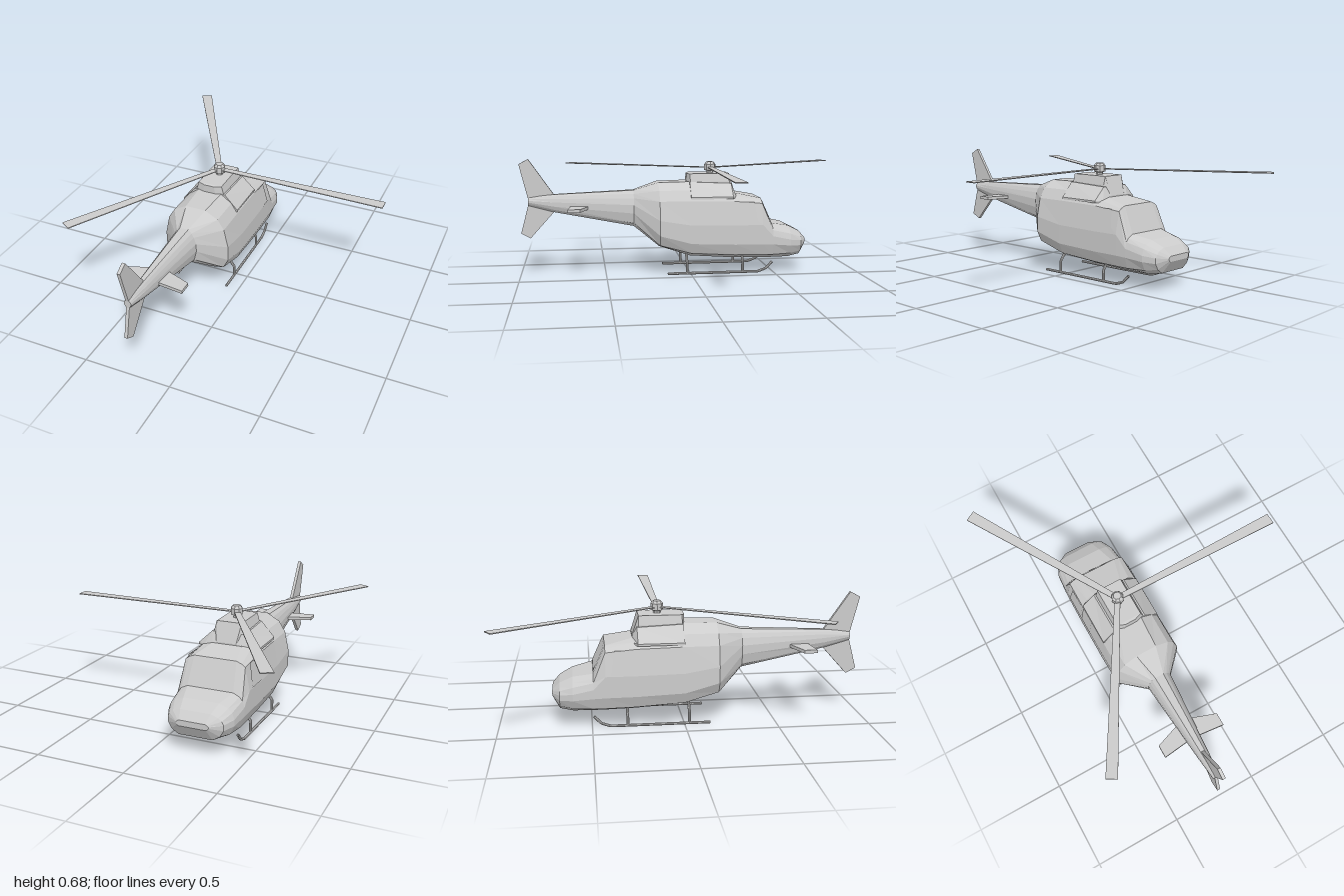
import * as THREE from 'three';

const mat = new THREE.MeshStandardMaterial({ color: 0xcccccc, flatShading: true });
const thin = new THREE.MeshStandardMaterial({ color: 0xcccccc, flatShading: true, side: THREE.DoubleSide });

function add(parent, name, geometry, material = mat) {
  const mesh = new THREE.Mesh(geometry, material);
  mesh.name = name;
  parent.add(mesh);
  return mesh;
}

// Skin mirrored half-sections [z, [halfWidth, y] from keel to roof], listed with z falling.
function loft(sections, capStart, capEnd) {
  const rings = sections.map(([z, ...half]) => [
    ...half.map(([x, y]) => [x, y, z]),
    ...half.slice().reverse().map(([x, y]) => [-x, y, z]),
  ]);
  const n = rings[0].length, index = [];
  for (let i = 0; i < rings.length - 1; i++) {
    for (let j = 0; j < n; j++) {
      const a = i * n + j, b = i * n + (j + 1) % n;
      index.push(a, a + n, b, b, a + n, b + n);
    }
  }
  const last = (rings.length - 1) * n;
  for (let j = 1; j < n - 1; j++) {
    if (capStart) index.push(0, j, j + 1);
    if (capEnd) index.push(last, last + j + 1, last + j);
  }
  const geo = new THREE.BufferGeometry();
  geo.setAttribute('position', new THREE.Float32BufferAttribute(rings.flat(2), 3));
  geo.setIndex(index);
  const flat = geo.toNonIndexed();
  flat.computeVertexNormals();
  return flat;
}

function quad(points) {
  const geo = new THREE.BufferGeometry();
  geo.setAttribute('position', new THREE.Float32BufferAttribute(points.flat(), 3));
  geo.setIndex([0, 1, 2, 0, 2, 3]);
  geo.computeVertexNormals();
  return geo;
}

function plate(points, depth) {
  const shape = new THREE.Shape(points.map(([x, y]) => new THREE.Vector2(x, y)));
  return new THREE.ExtrudeGeometry(shape, { depth, bevelEnabled: false }).translate(0, 0, -depth / 2);
}

// Tube with straight runs through the given points
function rod(points, radius) {
  const path = new THREE.CurvePath();
  const v = points.map((p) => new THREE.Vector3(...p));
  for (let i = 1; i < v.length; i++) path.add(new THREE.LineCurve3(v[i - 1], v[i]));
  return new THREE.TubeGeometry(path, 24, radius, 8, false);
}

export function createModel() {
  const model = new THREE.Group();
  model.name = 'helicopter';
  model.position.x = -0.235;

  // Cabin and nose (nose towards -z)
  const rear = [0.185, [0.09, 0.165], [0.165, 0.18], [0.196, 0.24], [0.196, 0.33], [0.172, 0.44], [0.135, 0.5], [0.06, 0.542]];
  add(model, 'cabin', loft([
    rear,
    [0, [0.1, 0.105], [0.172, 0.13], [0.198, 0.19], [0.198, 0.3], [0.172, 0.44], [0.135, 0.5], [0.07, 0.546]],
    [-0.26, [0.1, 0.087], [0.172, 0.115], [0.198, 0.18], [0.198, 0.295], [0.172, 0.435], [0.135, 0.465], [0.08, 0.48]],
    [-0.425, [0.1, 0.083], [0.172, 0.112], [0.196, 0.178], [0.196, 0.295], [0.17, 0.42], [0.15, 0.435], [0.12, 0.447]],
    [-0.49, [0.1, 0.083], [0.172, 0.112], [0.194, 0.175], [0.194, 0.225], [0.182, 0.26], [0.165, 0.28], [0.13, 0.297]],
    [-0.6, [0.1, 0.085], [0.16, 0.115], [0.185, 0.165], [0.185, 0.2], [0.172, 0.235], [0.15, 0.255], [0.1, 0.275]],
    [-0.67, [0.095, 0.1], [0.135, 0.125], [0.155, 0.16], [0.155, 0.19], [0.145, 0.21], [0.125, 0.225], [0.085, 0.24]],
    [-0.71, [0.075, 0.165], [0.085, 0.17], [0.09, 0.178], [0.09, 0.185], [0.085, 0.19], [0.08, 0.194], [0.07, 0.197]],
  ], false, true));

  // Tail boom, narrowing sharply behind the cabin
  add(model, 'tailBoom', loft([
    [0.95, [0.008, 0.41], [0.015, 0.42], [0.02, 0.43], [0.02, 0.44], [0.015, 0.45], [0.01, 0.455], [0.006, 0.46]],
    [0.8, [0.012, 0.37], [0.025, 0.385], [0.033, 0.405], [0.033, 0.43], [0.028, 0.45], [0.02, 0.465], [0.012, 0.475]],
    [0.33, [0.03, 0.28], [0.055, 0.3], [0.07, 0.36], [0.07, 0.41], [0.058, 0.45], [0.045, 0.475], [0.025, 0.495]],
    rear,
  ], true, false));

  // Engine housing: sloping shoulders below, upright box above
  add(model, 'engineShoulders', loft([
    [0, [0.172, 0.45], [0.172, 0.462], [0.095, 0.546]],
    [-0.25, [0.172, 0.45], [0.172, 0.462], [0.095, 0.535]],
    [-0.275, [0.13, 0.45], [0.13, 0.462], [0.08, 0.48]],
  ], true, true));
  add(model, 'engineCowling', loft([
    [0.01, [0.04, 0.5], [0.04, 0.545], [0.03, 0.59]],
    [-0.005, [0.09, 0.5], [0.085, 0.545], [0.072, 0.593]],
    [-0.24, [0.09, 0.47], [0.085, 0.545], [0.072, 0.593]],
    [-0.275, [0.065, 0.465], [0.06, 0.475], [0.055, 0.485]],
  ], true, true));

  // Windscreen and side windows
  add(model, 'windscreen', quad([
    [-0.11, 0.436, -0.433], [0.11, 0.436, -0.433], [0.118, 0.308, -0.489], [-0.118, 0.308, -0.489],
  ]), thin);
  const sideX = (y) => 0.2 - (y - 0.3) * 0.186;
  for (const s of [-1, 1]) {
    for (const [back, frontTop, frontLow] of [[-0.145, -0.245, -0.245], [-0.255, -0.375, -0.395]]) {
      const corner = (y, z) => [s * sideX(y), y, z];
      add(model, 'sideWindow', quad([
        corner(0.302, back), corner(0.43, back), corner(0.43, frontTop), corner(0.302, frontLow),
      ]), thin);
    }
  }

  // Swept upper and lower tail fin
  const fin = plate([
    [0.78, 0.38], [0.8, 0.37], [0.94, 0.215], [0.995, 0.245], [0.945, 0.43],
    [1, 0.655], [0.945, 0.685], [0.8, 0.475], [0.78, 0.47],
  ], 0.018);
  add(model, 'tailFin', fin.rotateY(-Math.PI / 2));

  // Horizontal stabilizers
  for (const s of [-1, 1]) {
    const wing = plate([[0, 0.6], [s * 0.045, 0.6], [s * 0.182, 0.648], [s * 0.182, 0.72], [s * 0.045, 0.705], [0, 0.705]], 0.018);
    add(model, 'stabilizer', wing.rotateX(Math.PI / 2)).position.y = 0.395;
  }

  // Landing skids
  for (const s of [-1, 1]) {
    const x = s * 0.16;
    add(model, 'skidRunner', rod([
      [x, 0.009, 0.14], [x, 0.009, -0.4], [x, 0.025, -0.45], [x, 0.067, -0.49],
    ], 0.008), thin);
    for (const z of [0.025, -0.31]) {
      add(model, 'skidStrut', rod([[x, 0.01, z], [x, 0.075, z], [s * 0.12, 0.125, z]], 0.008), thin);
    }
  }

  // Main rotor: hub and three blades widening towards the tip
  const rotor = new THREE.Group();
  rotor.name = 'mainRotor';
  rotor.position.z = -0.135;
  model.add(rotor);
  const profile = [[0.02, 0.585], [0.02, 0.605], [0.034, 0.61], [0.034, 0.645], [0.022, 0.66], [0, 0.66]];
  add(rotor, 'rotorHub', new THREE.LatheGeometry(profile.map(([r, y]) => new THREE.Vector2(r, y)), 8));
  for (let i = 0; i < 3; i++) {
    const blade = plate([[0.025, -0.016], [0.985, -0.032], [0.985, 0.032], [0.025, 0.016]], 0.005);
    const mesh = add(rotor, 'rotorBlade', blade.rotateX(Math.PI / 2));
    mesh.position.y = 0.625;
    mesh.rotation.y = i * Math.PI * 2 / 3;
  }
  return model;
}
